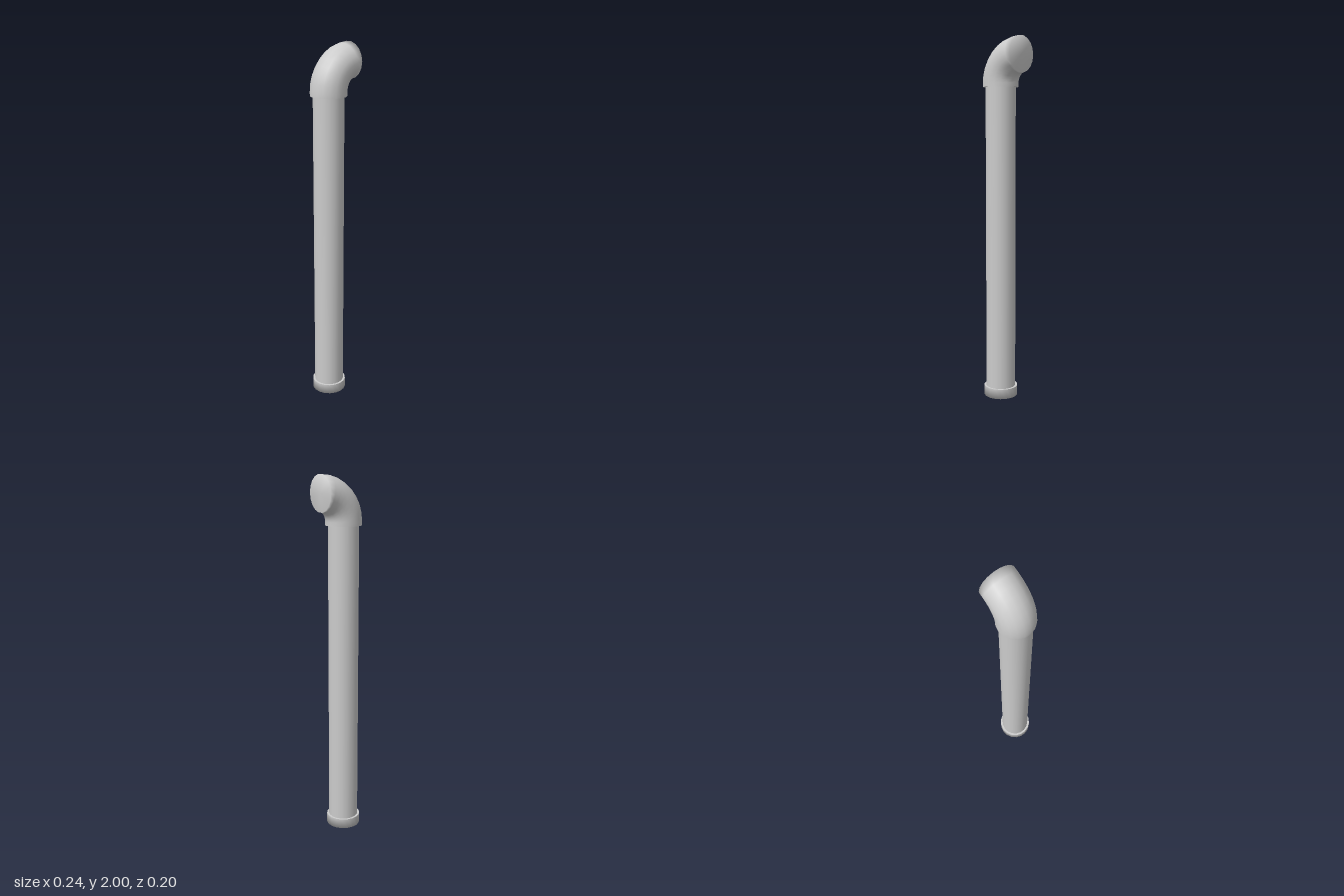
import * as THREE from 'three';

const SIDES = 18;
const AXIS_X = -0.025; // centre line of the upright pipe
const grey = new THREE.MeshStandardMaterial({ color: 0xcccccc });

function addPart(group, name, geometry, x = 0, y = 0) {
  const mesh = new THREE.Mesh(geometry, grey);
  mesh.name = name;
  mesh.position.set(x, y, 0);
  group.add(mesh);
}

// Quarter bend from upright to +x, closed at both ends
function elbowGeometry(radius, bottomY, endX, endY, steps) {
  const bendX = endX - AXIS_X;
  const bendY = 0.148;
  const centreY = endY - bendY;
  // Each ring: centre point and tilt angle (0 = upright, PI/2 = facing +x)
  const rings = [[AXIS_X, bottomY, 0]];
  for (let i = 0; i <= steps; i++) {
    const a = (i / steps) * Math.PI / 2;
    rings.push([endX - bendX * Math.cos(a), centreY + bendY * Math.sin(a), a]);
  }
  const positions = [];
  const index = [];
  const addRing = ([x, y, a]) => {
    for (let j = 0; j < SIDES; j++) {
      const t = (j / SIDES) * Math.PI * 2;
      const out = radius * Math.sin(t);
      positions.push(x + out * Math.cos(a), y - out * Math.sin(a), radius * Math.cos(t));
    }
  };
  rings.forEach(addRing);
  for (let i = 0; i < rings.length - 1; i++) {
    for (let j = 0; j < SIDES; j++) {
      const k = (j + 1) % SIDES;
      const a = i * SIDES + j, b = i * SIDES + k;
      index.push(a, b, b + SIDES, a, b + SIDES, a + SIDES);
    }
  }
  // End cap shares its rim, so the shading rolls over the edge
  const endStart = (rings.length - 1) * SIDES;
  const endCentre = positions.length / 3;
  positions.push(endX, endY, 0);
  // Bottom cap has its own rim, so its edge is sharp
  const bottomCentre = endCentre + 1;
  positions.push(AXIS_X, bottomY, 0);
  const bottomStart = bottomCentre + 1;
  addRing(rings[0]);
  for (let j = 0; j < SIDES; j++) {
    const k = (j + 1) % SIDES;
    index.push(endCentre, endStart + j, endStart + k);
    index.push(bottomCentre, bottomStart + k, bottomStart + j);
  }
  const geometry = new THREE.BufferGeometry();
  geometry.setAttribute('position', new THREE.Float32BufferAttribute(positions, 3));
  geometry.setIndex(index);
  geometry.computeVertexNormals();
  return geometry;
}

export function createModel() {
  const group = new THREE.Group();
  group.name = 'ventPipe';

  // Upright pipe
  addPart(group, 'pipe', new THREE.CylinderGeometry(0.083, 0.083, 1.73, SIDES), AXIS_X, 0.885);

  // Base collar: soft lower edge, sharp upper edge
  const profile = [[0, 0], [0.095, 0], [0.095, 0.055]].map(([r, y]) => new THREE.Vector2(r, y));
  addPart(group, 'baseCollar', new THREE.LatheGeometry(profile, SIDES), AXIS_X);
  const collarTop = new THREE.CircleGeometry(0.095, SIDES, Math.PI / 2).rotateX(-Math.PI / 2);
  addPart(group, 'baseCollarTop', collarTop, AXIS_X, 0.055);

  // Bent outlet at the top
  addPart(group, 'elbow', elbowGeometry(0.098, 1.735, 0.121, 1.9035, 8));

  return group;
}
